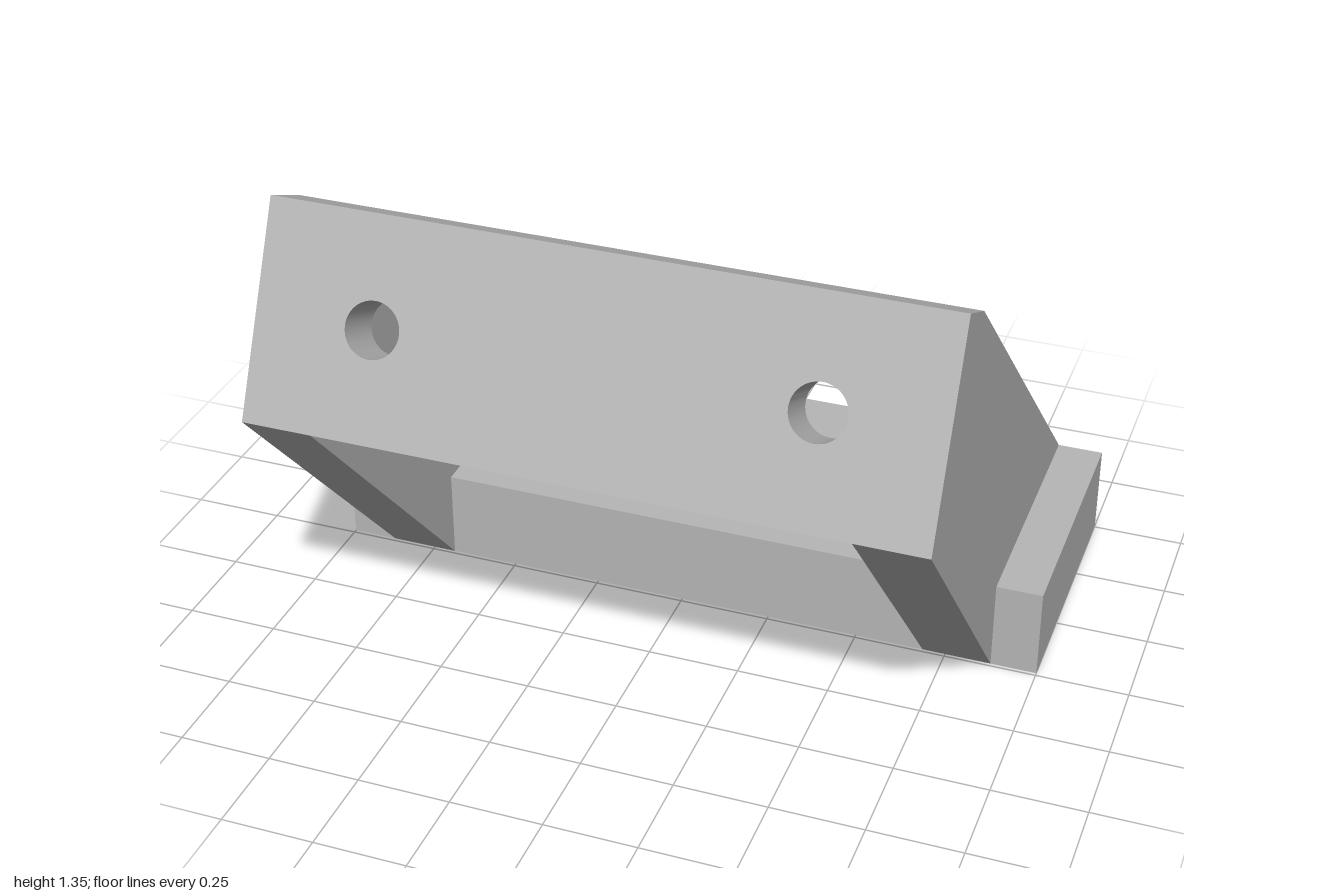
import * as THREE from 'three';
import { toCreasedNormals } from 'three/addons/utils/BufferGeometryUtils.js';

const PLASTIC = new THREE.MeshStandardMaterial({ color: 0xb6b6b6 });
PLASTIC.name = 'grey plastic';

const HALF = 0.875;                       // half width of the frame
const INNER = 0.688;                      // inner face of the arms
const NUT = { x: 0.625, z: -0.387, r: 0.186, floor: 0.08, top: 0.395 };
const BASE_TOP = 0.25, BACK = -0.755, BASE_FRONT = -0.01;

const shapeOf = (pts) => new THREE.Shape(pts.map(([a, b]) => new THREE.Vector2(a, b)));

const circle = (x, y, r) => new THREE.Path().absarc(x, y, r, 0, Math.PI * 2, true);

const extrude = (shape, depth) =>
  new THREE.ExtrudeGeometry(shape, { depth, bevelEnabled: false, curveSegments: 24 });

function part(name, geometry) {
  const mesh = new THREE.Mesh(toCreasedNormals(geometry, 0.5), PLASTIC);
  mesh.name = name;
  return mesh;
}

// Shape in (x, -z), raised from y0 to y1
const upright = (shape, y0, y1) => extrude(shape, y1 - y0).rotateX(-Math.PI / 2).translate(0, y0, 0);

// Profile of [z, y] points, spanning x0 to x1
const sideways = (pts, x0, x1) =>
  extrude(shapeOf(pts.map(([z, y]) => [-z, y])), Math.abs(x1 - x0))
    .rotateY(Math.PI / 2).translate(Math.min(x0, x1), 0, 0);

const baseOutline = () => shapeOf([[-1, -BASE_FRONT], [1, -BASE_FRONT], [1, -BACK], [-1, -BACK]]);

function hexagon(x, y, r) {
  const pts = [];
  for (let i = 0; i < 6; i++) {
    const a = (i * Math.PI) / 3;
    pts.push(new THREE.Vector2(x + r * Math.cos(a), y + r * Math.sin(a)));
  }
  return new THREE.Path(pts);
}

export function createModel() {
  const model = new THREE.Group();
  model.name = 'angledBracket';

  // Base: screw holes below, hexagonal nut pockets above
  const lower = baseOutline(), upper = baseOutline();
  for (const s of [-1, 1]) {
    lower.holes.push(circle(s * NUT.x, -NUT.z, 0.104));
    upper.holes.push(hexagon(s * NUT.x, -NUT.z, NUT.r));
  }
  model.add(part('baseFloor', upright(lower, 0, NUT.floor)));
  model.add(part('basePocketLayer', upright(upper, NUT.floor, BASE_TOP)));

  // Tilted plate with two screw holes
  const height = 0.564, thick = 0.154;
  const plate = shapeOf([[-HALF, 0], [HALF, 0], [HALF, height], [-HALF, height]]);
  for (const s of [-1, 1]) plate.holes.push(circle(s * 0.5625, height / 2, 0.072));
  const plateMesh = part('tiltedPlate', extrude(plate, thick).translate(0, 0, -thick));
  plateMesh.rotation.x = -0.44;
  plateMesh.position.set(0, 0.835, 0.757);
  model.add(plateMesh);

  // Arms: solid outer layer, inner layer notched for the nut pocket
  const rim = [[BASE_FRONT, BASE_TOP], [BASE_FRONT, 0], [0.757, 0.835], [0.618, 0.769], [0.378, 1.28], [BACK, BASE_TOP]];
  const flat = NUT.r * Math.sqrt(3) / 2;
  const zBack = NUT.z - flat, zFront = NUT.z + flat;
  const notch = [[zBack, BASE_TOP], [zBack, NUT.top], [zFront, NUT.top], [zFront, BASE_TOP]];
  const tip = NUT.x + NUT.r, corner = NUT.x + NUT.r / 2;
  for (const s of [-1, 1]) {
    const arm = new THREE.Group();
    arm.name = s > 0 ? 'leftArm' : 'rightArm';
    arm.add(part('armOuter', sideways(rim, s * tip, s * HALF)));
    arm.add(part('armInner', sideways([...rim, ...notch], s * INNER, s * tip)));
    // Slanted pocket walls inside the notch
    for (const z of [zBack, zFront]) {
      const wedge = shapeOf([[s * corner, -z], [s * tip, -z], [s * tip, -NUT.z]]);
      arm.add(part('pocketWall', upright(wedge, BASE_TOP, NUT.top)));
    }
    model.add(arm);
  }
  return model;
}
